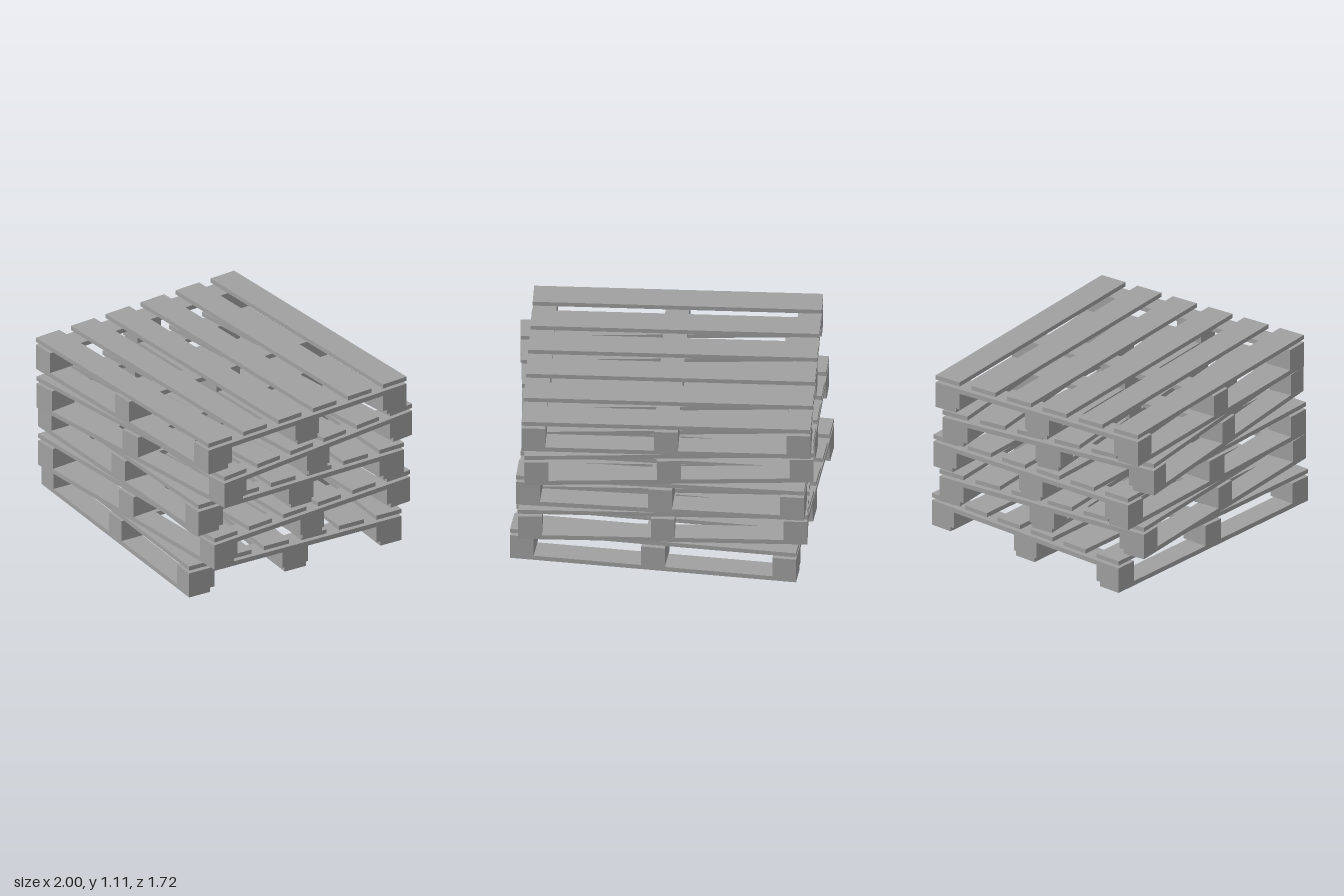
import * as THREE from 'three';

const W = 1.84, D = 1.57;          // pallet length (x) and depth (z)
const BX = 0.152, BZ = 0.186;      // block footprint
const PITCH = 0.221;               // height of one pallet in the stack

const wood = new THREE.MeshStandardMaterial({ color: 0xa0a0a0 });
wood.name = 'grey wood';

function addBox(parent, name, [w, h, d], [x, yBottom, z]) {
  const mesh = new THREE.Mesh(new THREE.BoxGeometry(w, h, d), wood);
  mesh.name = name;
  mesh.position.set(x, yBottom + h / 2, z);
  parent.add(mesh);
}

function createPallet() {
  const pallet = new THREE.Group();
  const sides = [-1, 0, 1];
  const boardWidth = 0.156;

  for (const s of sides) {
    // runners on the ground, outer ones flush with the outside edge
    addBox(pallet, 'bottomBoard', [W, 0.031, boardWidth], [0, 0, s * (D - boardWidth) / 2]);
    // cross boards over the blocks
    addBox(pallet, 'crossBoard', [BX, 0.031, D], [s * (W - BX) / 2, 0.141, 0]);
    // three blocks per row
    for (const t of sides) {
      addBox(pallet, 'block', [BX, 0.11, BZ], [s * (W - BX) / 2, 0.031, t * (D - BZ) / 2]);
    }
  }

  // six deck slats, set a little above the cross boards
  for (let i = 0; i < 6; i++) {
    addBox(pallet, 'deckSlat', [W, 0.029, BZ], [0, 0.192, (i / 5 - 0.5) * (D - BZ)]);
  }
  return pallet;
}

export function createModel() {
  const stack = new THREE.Group();
  stack.name = 'palletStack';

  // turn in degrees and sideways shift of each pallet, bottom to top
  const layers = [[-4.9, -0.016], [1.9, 0.015], [-1.9, -0.02], [4.9, 0.016], [1, -0.018]];
  layers.forEach(([turn, shift], i) => {
    const pallet = createPallet();
    pallet.name = 'pallet' + (i + 1);
    pallet.position.set(shift, i * PITCH, 0);
    pallet.rotation.y = THREE.MathUtils.degToRad(turn);
    stack.add(pallet);
  });
  return stack;
}
